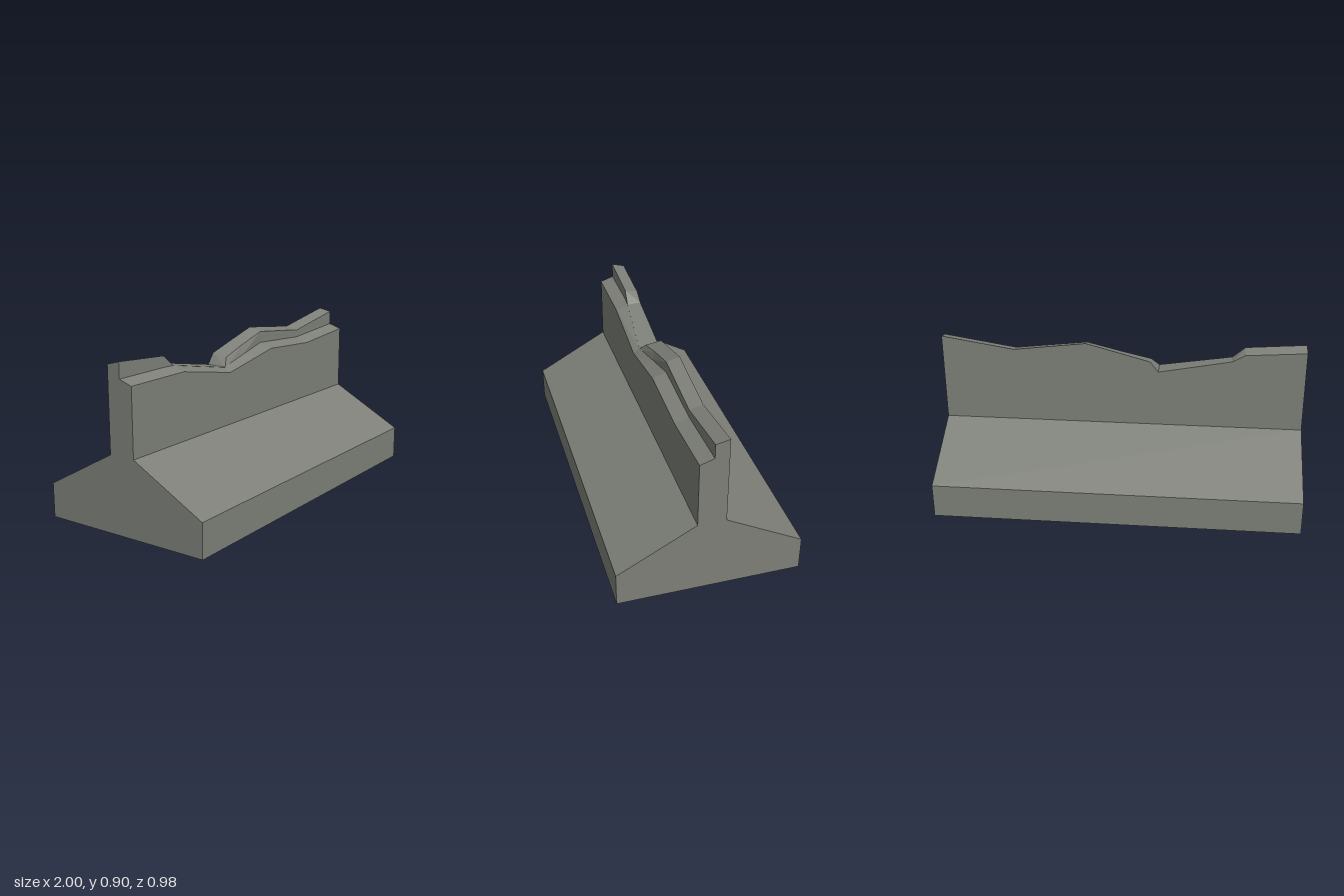
import * as THREE from 'three';

// Wall stations: x, back top y, upper step edge [z, y], lower step edge [z, y], front top y
const STATIONS = [
  [-1, 0.87, [0, 0.89], [0, 0.805], 0.78],
  [-0.67, 0.847, [0, 0.865], [0, 0.805], 0.78],
  [-0.6, 0.808, [0.005, 0.805], [0.005, 0.804], 0.78],
  [-0.2, 0.732, [0.04, 0.73], [0.04, 0.729], 0.705],
  [-0.155, 0.79, [0.015, 0.775], [0.036, 0.74], 0.713],
  [0, 0.832, [0.004, 0.815], [0.02, 0.767], 0.74],
  [0.2, 0.885, [0, 0.866], [0, 0.802], 0.775],
  [0.6, 0.836, [0, 0.82], [0, 0.777], 0.75],
  [1, 0.9, [0, 0.884], [0, 0.805], 0.78],
];
const HALF = 0.075; // half thickness of the wall
const SHOULDER = 0.415; // height where the wall meets the footing

// Cross-section as [z, y], counterclockwise seen from +x
function section([, back, upper, lower, front]) {
  return [[HALF, SHOULDER], [-HALF, SHOULDER], [-HALF, back], upper, lower, [HALF, front]];
}

function wallGeometry() {
  const rings = STATIONS.map((s) => section(s).map(([z, y]) => new THREE.Vector3(s[0], y, z)));
  const pos = [];
  const tri = (...pts) => pts.forEach((p) => pos.push(p.x, p.y, p.z));

  // skin between neighbouring sections
  for (let i = 0; i < rings.length - 1; i++) {
    const a = rings[i];
    const b = rings[i + 1];
    for (let j = 0; j < a.length; j++) {
      const k = (j + 1) % a.length;
      tri(a[j], a[k], b[j]);
      tri(a[k], b[k], b[j]);
    }
  }

  // end caps
  for (const [ring, flip] of [[rings[0], true], [rings[rings.length - 1], false]]) {
    const outline = ring.map((p) => new THREE.Vector2(-p.z, p.y));
    for (const [a, b, c] of THREE.ShapeUtils.triangulateShape(outline, [])) {
      if (flip) tri(ring[a], ring[c], ring[b]);
      else tri(ring[a], ring[b], ring[c]);
    }
  }

  const geo = new THREE.BufferGeometry();
  geo.setAttribute('position', new THREE.Float32BufferAttribute(pos, 3));
  geo.computeVertexNormals(); // unshared corners keep the facets flat
  return geo;
}

// Sloped footing, extruded along x
function footingGeometry() {
  const profile = [[-0.49, 0], [0.49, 0], [0.49, 0.187], [HALF, SHOULDER], [-HALF, SHOULDER], [-0.49, 0.187]];
  const shape = new THREE.Shape(profile.map(([z, y]) => new THREE.Vector2(z, y)));
  return new THREE.ExtrudeGeometry(shape, { depth: 2, bevelEnabled: false })
    .translate(0, 0, -1)
    .rotateY(Math.PI / 2);
}

export function createModel() {
  const group = new THREE.Group();
  group.name = 'brokenBarrier';
  const concrete = new THREE.MeshStandardMaterial({ color: 0x7d7f78 });
  concrete.name = 'concrete grey';

  const footing = new THREE.Mesh(footingGeometry(), concrete);
  footing.name = 'footing';
  const wall = new THREE.Mesh(wallGeometry(), concrete);
  wall.name = 'brokenWall';
  group.add(footing, wall);
  return group;
}
